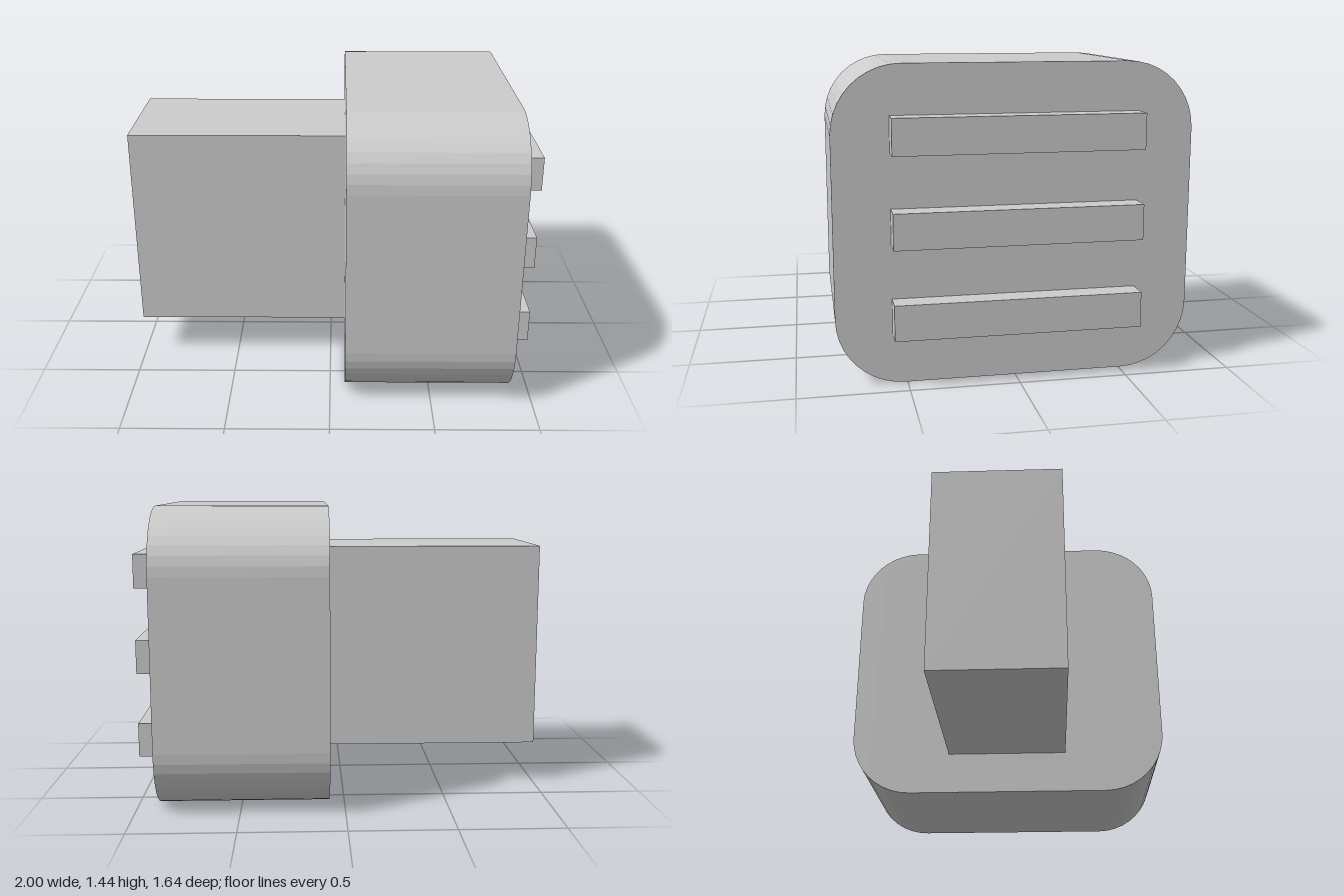
import * as THREE from 'three';

export function createModel() {
  const model = new THREE.Group();
  const grey = new THREE.MeshStandardMaterial({ color: 0xcccccc });
  grey.name = 'light grey';

  function add(name, geometry, x, y, z) {
    const mesh = new THREE.Mesh(geometry, grey);
    mesh.name = name;
    mesh.position.set(x, y, z);
    model.add(mesh);
  }

  // Head: rounded rectangle extruded along x
  const w = 0.82, h = 0.72, r = 0.31;
  const outline = new THREE.Shape();
  outline.absarc(w - r, h - r, r, 0, Math.PI / 2);
  outline.absarc(r - w, h - r, r, Math.PI / 2, Math.PI);
  outline.absarc(r - w, r - h, r, Math.PI, Math.PI * 1.5);
  outline.absarc(w - r, r - h, r, Math.PI * 1.5, Math.PI * 2);
  outline.closePath();
  const head = new THREE.ExtrudeGeometry(outline, { depth: 0.82, bevelEnabled: false, curveSegments: 5 });
  head.rotateY(Math.PI / 2);
  add('head', head, 0.074, h, 0);

  // Rectangular stem behind the head
  add('stem', new THREE.BoxGeometry(1.074, 1.024, 0.614), -0.463, h, 0);

  // Three raised bars on the end face
  for (const dy of [-0.41, 0, 0.412]) {
    add('bar', new THREE.BoxGeometry(0.106, 0.164, 1.13), 0.947, h + 0.002 + dy, 0);
  }
  return model;
}
